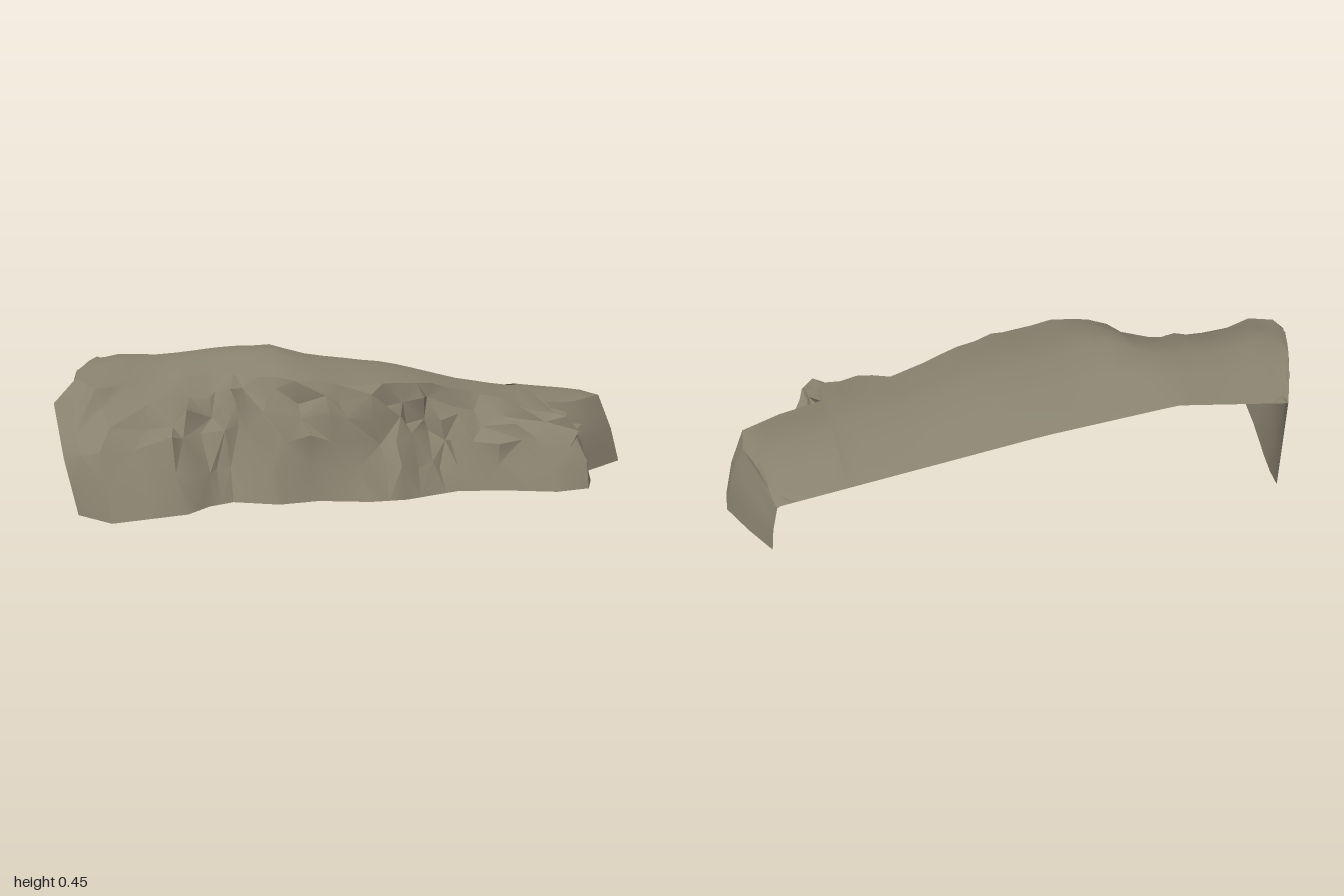
import * as THREE from 'three';
import { toCreasedNormals } from 'three/addons/utils/BufferGeometryUtils.js';

// Outline columns run from the back -x corner, round the front, to the back +x corner.
// Foot of the cliff: x, z
const foot = [
  -.80, -.43, -.83, -.25, -.87, -.05, -.90, .14, -.93, .31, -.83, .43, -.60, .37, -.53, .29,
  -.45, .25, -.31, .31, -.18, .29, -.02, .335, .10, .33, .20, .29, .29, .255, .44, .275,
  .61, .33, .73, .305, .78, .20, .75, .11, .83, .06, 1.0, -.07, 1.0, -.17, .86, -.43];
// Ledge half way up: x, y, z
const ledge = [
  -.80, .17, -.43, -.88, .20, -.25, -.95, .22, -.06, -1.0, .31, .08, -.97, .16, .23, -.86, .19, .30,
  -.64, .20, .25, -.53, .21, .17, -.43, .22, .14, -.32, .20, .25, -.20, .20, .25, -.05, .18, .25,
  .10, .19, .26, .20, .17, .16, .30, .16, .20, .43, .16, .22, .59, .14, .25, .72, .15, .24,
  .75, .14, .18, .72, .13, .09, .82, .12, .04, .97, .12, -.08, .97, .12, -.18, .85, .09, -.43];
// Upper rim: x, y, z
const rim = [
  -.80, .335, -.43, -.87, .37, -.25, -.93, .39, -.08, -.93, .38, .03, -.87, .355, .10, -.77, .355, .05,
  -.62, .36, .02, -.51, .375, .00, -.42, .385, .02, -.35, .38, .12, -.24, .375, .19, -.10, .36, .20,
  .05, .355, .18, .18, .345, .13, .30, .32, .09, .42, .29, .07, .53, .26, .15, .65, .235, .17,
  .66, .24, .10, .66, .25, .03, .80, .24, -.01, .92, .245, -.09, .92, .23, -.18, .83, .17, -.43];
// Heights along x: back edge and crest of the plateau
const backEdge = [[-.8, .335], [-.43, .375], [0, .32], [.86, .17]];
const crest = [[-.93, .4], [-.8, .43], [-.65, .42], [-.28, .455], [-.15, .42], [.14, .38], [.4, .31], [.92, .24]];

function heightAt(table, x) {
  if (x <= table[0][0]) return table[0][1];
  for (let i = 1; i < table.length; i++) {
    const [x0, y0] = table[i - 1], [x1, y1] = table[i];
    if (x <= x1) return y0 + (y1 - y0) * (x - x0) / (x1 - x0);
  }
  return table[table.length - 1][1];
}

function seeded(seed) {
  return () => {
    seed = (seed * 16807) % 2147483647;
    return seed / 2147483647 - .5;
  };
}

// Point on a ring at a whole or half column
function ringPoint(data, c) {
  const at = i => data.length === foot.length
    ? new THREE.Vector3(data[2 * i], 0, data[2 * i + 1])
    : new THREE.Vector3().fromArray(data, 3 * i);
  const i = Math.floor(c);
  return c === i ? at(i) : at(i).lerp(at(i + 1), c - i);
}

// Sheet of quads from rows of points
function sheet(rows) {
  const pos = rows.flatMap(r => r.flatMap(p => p.toArray()));
  const n = rows[0].length, index = [];
  for (let r = 0; r < rows.length - 1; r++) {
    for (let c = 0; c < n - 1; c++) {
      const a = r * n + c, b = a + 1, d = a + n, e = d + 1;
      if ((r + c) % 2) index.push(a, b, e, a, e, d);
      else index.push(a, b, d, b, e, d);
    }
  }
  const g = new THREE.BufferGeometry();
  g.setAttribute('position', new THREE.Float32BufferAttribute(pos, 3));
  g.setIndex(index);
  return g;
}

export function createModel() {
  const group = new THREE.Group();
  const stone = new THREE.MeshStandardMaterial({ color: 0x88816f, side: THREE.DoubleSide });
  stone.name = 'stone';
  const rand = seeded(4711);
  const last = foot.length / 2 - 1;

  const add = (name, geometry) => {
    const mesh = new THREE.Mesh(geometry, stone);
    mesh.name = name;
    group.add(mesh);
  };

  // Craggy wall: foot, ledge and rim, with rough rows in between on the front
  const wall = [[], [], [], [], [], []], rims = [];
  for (let c = 0; c <= last; c += .5) {
    const rough = c > 5 && c < 20 ? 1 : 0;
    const jitter = (p, s) => p.add(new THREE.Vector3(rand() * s, rand() * s, rand() * s).multiplyScalar(rough));
    const f = ringPoint(foot, c), l = ringPoint(ledge, c), r = ringPoint(rim, c);
    if (c === 0 || c === last) f.y = .015;
    jitter(r, c % 1 ? .02 : 0);
    wall[0].push(f);
    wall[1].push(jitter(f.clone().lerp(l, .5), .03));
    wall[2].push(jitter(l.clone(), .04));
    wall[3].push(jitter(l.clone().lerp(r, .35), .05));
    wall[4].push(jitter(l.clone().lerp(r, .7), .05));
    wall[5].push(r);
    rims.push(r);
  }
  add('cliffFace', toCreasedNormals(sheet(wall), .5));

  // Smooth plateau from the rim to the straight back edge, open behind
  const steps = [0, .12, .3, .5, .75, 1];
  const plateau = steps.map(t => rims.map(r => {
    const bx = THREE.MathUtils.clamp(r.x * .93, -.8, .83);
    const b = new THREE.Vector3(bx, heightAt(backEdge, bx), -.43);
    const reach = Math.min(1, r.distanceTo(b) / .4);
    const p = r.clone().lerp(b, t);
    const rise = Math.max(0, heightAt(crest, p.x) - (r.y + b.y) / 2);
    p.y += rise * reach * Math.pow(Math.max(0, Math.sin(Math.PI * t)), t < .5 ? 1.2 : 1);
    return p;
  }));
  add('plateau', toCreasedNormals(sheet(plateau), .7));
  return group;
}
